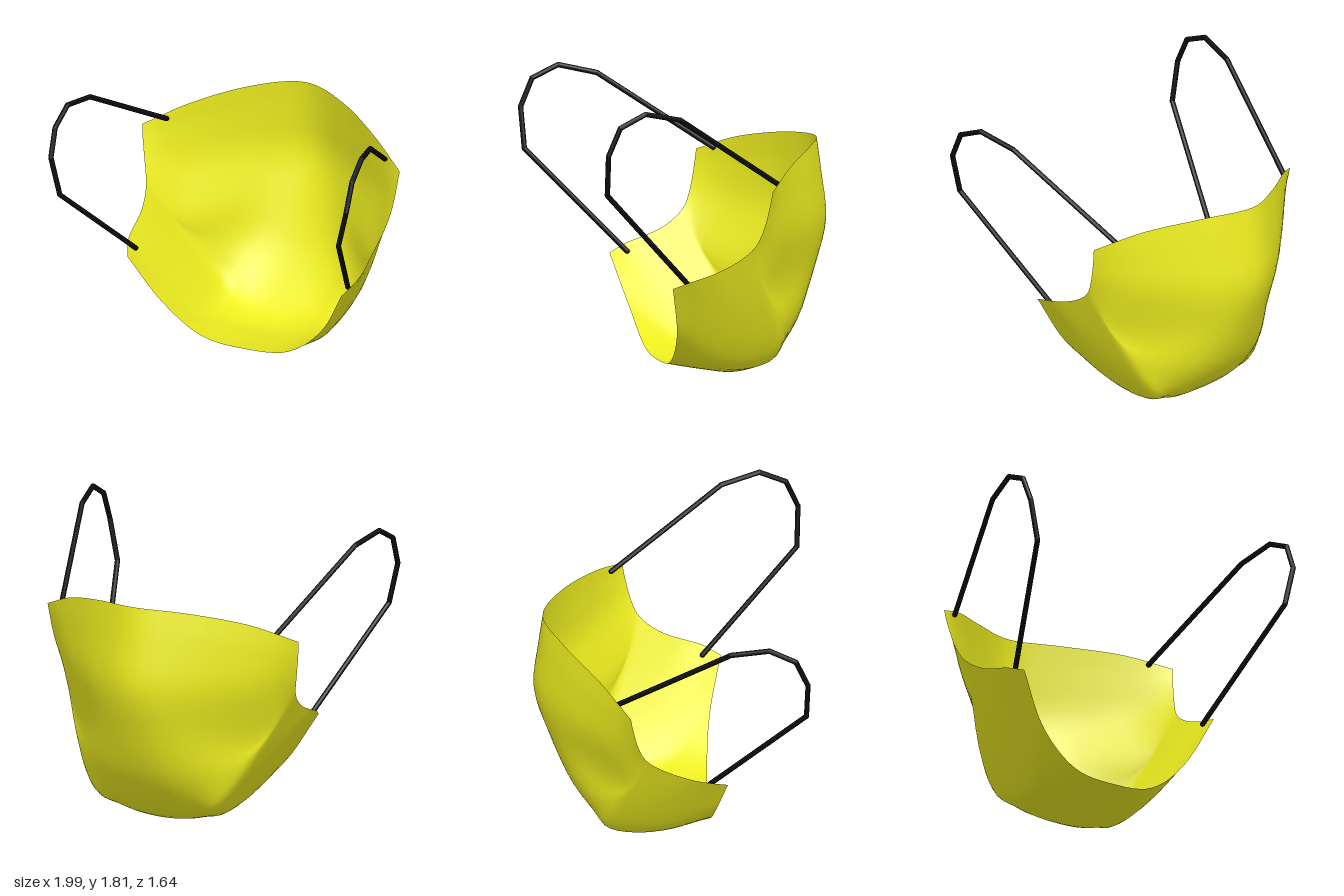
import * as THREE from 'three';

// Slight sideways lean shared by every part
const lean = (x, y, z) =>
  new THREE.Vector3(x + 0.05 * Math.max(0, 1.1 - y), y + 0.042 * x, z);

// Half of the mask: profiles from the top edge down to the lower edge,
// from the centre line out to the cheek edge. The third one pinches in
// above a fuller jaw.
const profiles = [
  [[0, 1.4, -0.765], [0, 1.18, -0.795], [0, 0.9, -0.82], [0, 0.62, -0.74], [0, 0.3, -0.6],
    [0, 0.06, -0.38], [0, 0, -0.21], [0, 0.03, 0], [0, 0.08, 0.23]],
  [[0.3, 1.38, -0.645], [0.29, 1.17, -0.68], [0.28, 0.9, -0.705], [0.28, 0.62, -0.64], [0.29, 0.33, -0.555],
    [0.27, 0.1, -0.395], [0.26, 0.035, -0.2], [0.27, 0.06, 0], [0.29, 0.12, 0.235]],
  [[0.6, 1.315, -0.44], [0.6, 1.14, -0.45], [0.6, 0.9, -0.435], [0.61, 0.6, -0.31], [0.56, 0.42, -0.355],
    [0.475, 0.22, -0.365], [0.44, 0.145, -0.2], [0.46, 0.18, 0.03], [0.53, 0.325, 0.26]],
  [[0.85, 1.21, -0.26], [0.84, 1.12, -0.245], [0.82, 0.99, -0.215], [0.795, 0.88, -0.17], [0.775, 0.81, -0.1],
    [0.762, 0.75, 0], [0.762, 0.705, 0.12], [0.75, 0.675, 0.22], [0.705, 0.63, 0.33]],
];

// Smooth sheet lofted through the mirrored profiles
function maskGeometry(cols = 36, rows = 32) {
  const mirrored = profiles.slice(1).reverse().map(p => p.map(([x, y, z]) => [-x, y, z]));
  const curves = [...mirrored, ...profiles].map(p =>
    new THREE.CatmullRomCurve3(p.map(q => lean(...q)), false, 'catmullrom', 0.5));
  const pos = [], index = [];
  for (let j = 0; j <= rows; j++) {
    const across = new THREE.CatmullRomCurve3(curves.map(c => c.getPoint(j / rows)), false, 'catmullrom', 0.5);
    for (let i = 0; i <= cols; i++) pos.push(...across.getPoint(i / cols).toArray());
  }
  for (let j = 0; j < rows; j++) {
    for (let i = 0; i < cols; i++) {
      const a = j * (cols + 1) + i, b = a + 1, c = a + cols + 1, d = c + 1;
      index.push(a, b, c, b, d, c);
    }
  }
  const g = new THREE.BufferGeometry();
  g.setAttribute('position', new THREE.Float32BufferAttribute(pos, 3));
  g.setIndex(index);
  g.computeVertexNormals();
  return g;
}

// Ear loop: straight cord pieces with rounded joints
const loopPath = [[0.72, 1.235, -0.33], [0.925, 1.7, 0.34], [0.97, 1.755, 0.57], [0.98, 1.68, 0.73],
  [0.975, 1.51, 0.803], [0.92, 1.26, 0.795], [0.7, 0.635, 0.22]];

function earLoop(side, material) {
  const loop = new THREE.Group();
  const r = 0.016, up = new THREE.Vector3(0, 1, 0);
  const pts = loopPath.map(([x, y, z]) => lean(side * x, y, z));
  pts.forEach((p, i) => {
    const joint = new THREE.Mesh(new THREE.SphereGeometry(r, 10, 8), material);
    joint.name = 'cordJoint';
    joint.position.copy(p);
    loop.add(joint);
    if (i === 0) return;
    const dir = p.clone().sub(pts[i - 1]);
    const cord = new THREE.Mesh(new THREE.CylinderGeometry(r, r, dir.length(), 10), material);
    cord.name = 'cord';
    cord.position.copy(p).add(pts[i - 1]).multiplyScalar(0.5);
    cord.quaternion.setFromUnitVectors(up, dir.normalize());
    loop.add(cord);
  });
  return loop;
}

export function createModel() {
  const model = new THREE.Group();
  model.name = 'faceMask';
  const cloth = new THREE.MeshStandardMaterial({ color: 0xeeee20, side: THREE.DoubleSide });
  const elastic = new THREE.MeshStandardMaterial({ color: 0x0c0c0c });

  const mask = new THREE.Mesh(maskGeometry(), cloth);
  mask.name = 'maskCloth';
  model.add(mask);

  for (const side of [1, -1]) {
    const loop = earLoop(side, elastic);
    loop.name = side > 0 ? 'leftEarLoop' : 'rightEarLoop';
    model.add(loop);
  }
  return model;
}
